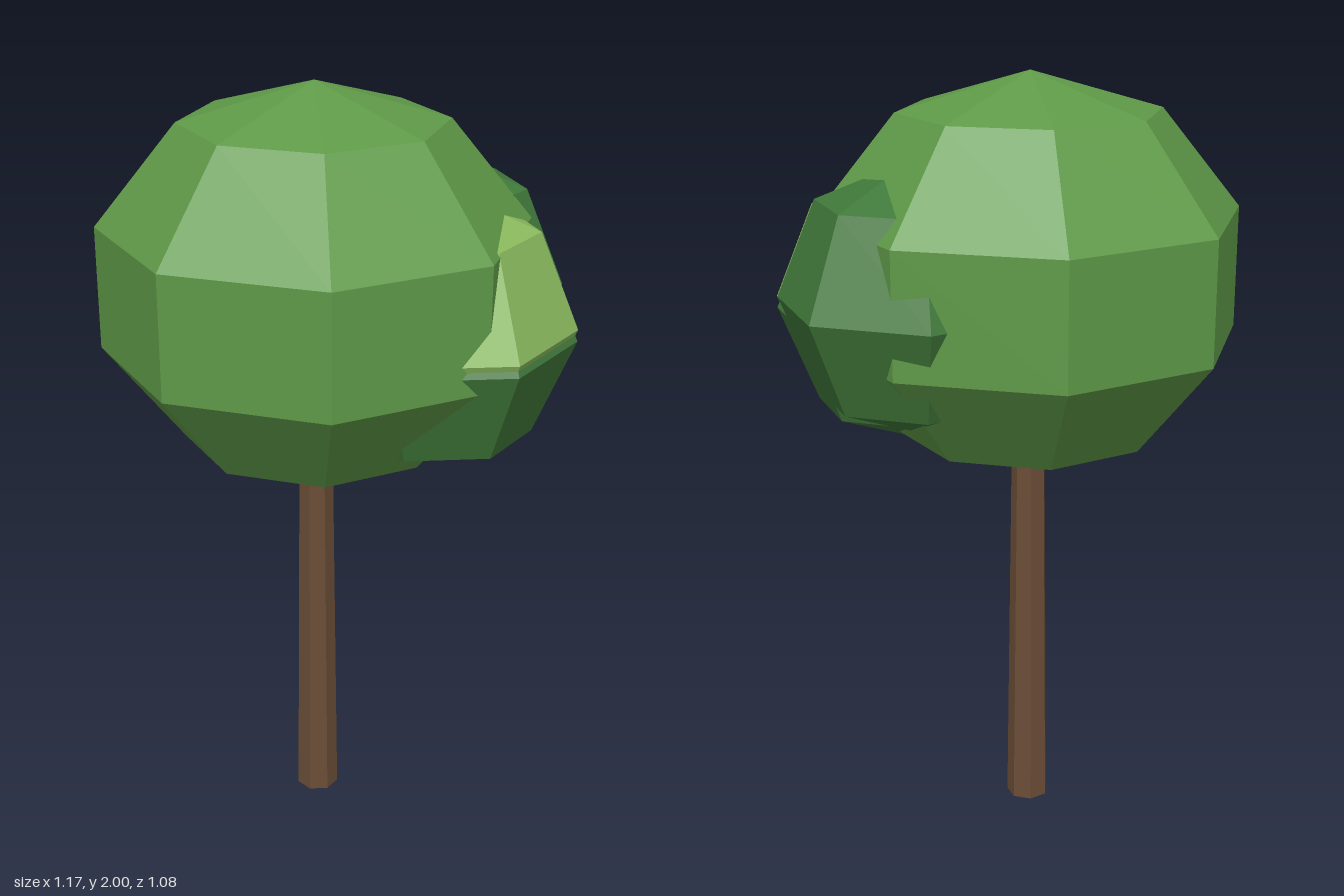
import * as THREE from 'three';

const paint = (name, color) => {
  const m = new THREE.MeshStandardMaterial({ color });
  m.name = name;
  return m;
};

// Faceted mesh: split vertices so every face has its own normal
function faceted(name, geometry, material, x, y, z) {
  const g = geometry.toNonIndexed();
  g.computeVertexNormals();
  const mesh = new THREE.Mesh(g, material);
  mesh.name = name;
  mesh.position.set(x, y, z);
  return mesh;
}

export function createModel() {
  const tree = new THREE.Group();
  tree.name = 'tree';

  const bark = paint('bark brown', 0x6b4d37);
  const leaf = paint('leaf green', 0x5f9a48);
  const darkLeaf = paint('dark leaf green', 0x40793a);
  const lightLeaf = paint('light leaf green', 0x8aba5e);

  // Tapered seven-sided trunk, its top hidden in the crown
  const trunk = new THREE.CylinderGeometry(0.044, 0.057, 1.1, 7).rotateY(Math.PI);
  tree.add(faceted('trunk', trunk, bark, -0.05, 0.55, 0));

  // Large, slightly squashed crown
  const crown = new THREE.SphereGeometry(0.568, 8, 5).scale(1, 0.89, 1);
  tree.add(faceted('crown', crown, leaf, -0.05, 1.494, 0));

  // Smaller clumps of leaves pushing out of the left side
  const clumps = [
    ['backLeafClump', darkLeaf, 1.465, -0.106],
    ['lowerLeafClump', darkLeaf, 1.385, 0.1],
    ['upperLeafClump', lightLeaf, 1.415, 0.1],
  ];
  for (const [name, material, y, z] of clumps) {
    const clump = new THREE.SphereGeometry(0.345, 7, 4).rotateY(-Math.PI / 2);
    tree.add(faceted(name, clump, material, 0.248, y, z));
  }
  return tree;
}
